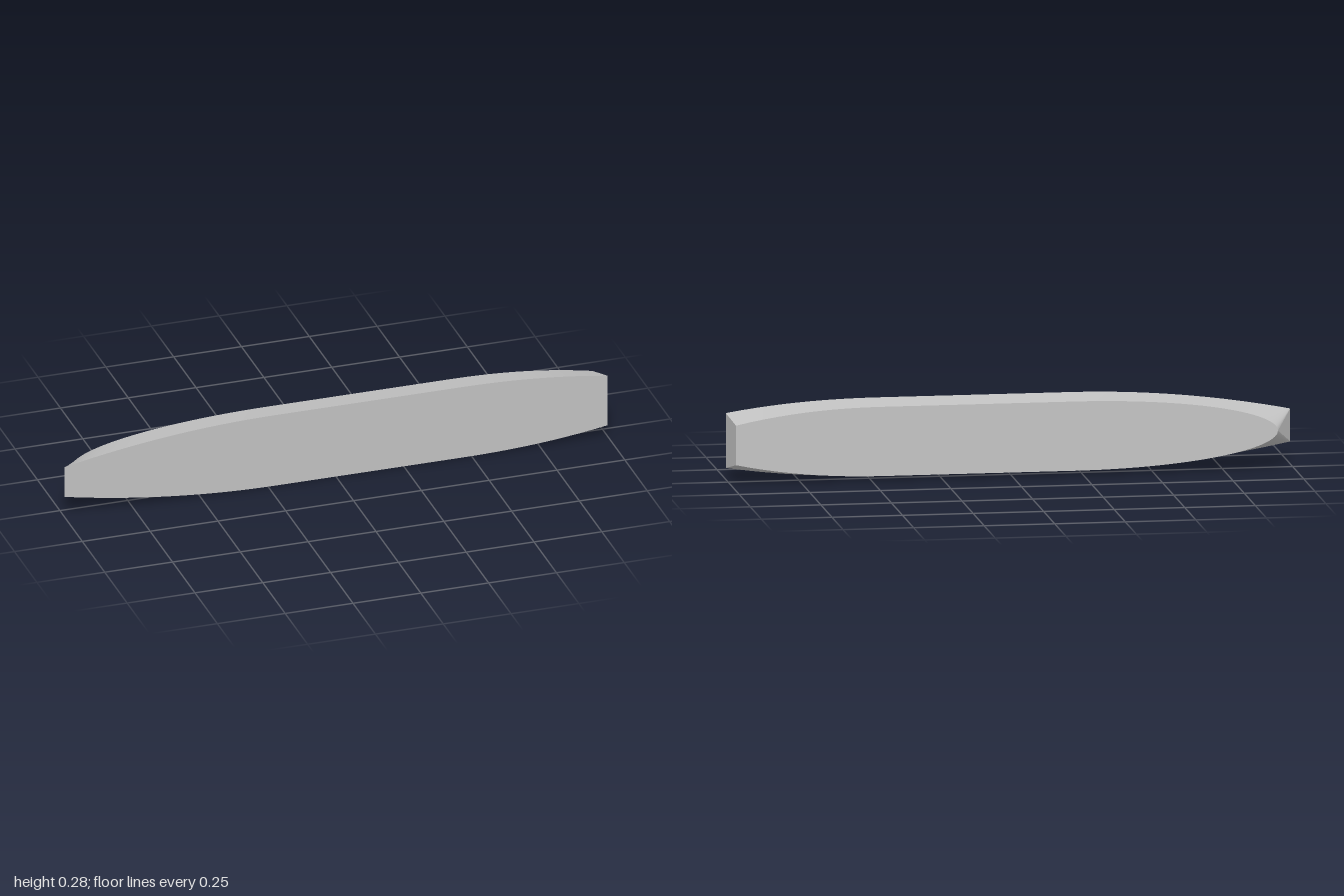
import * as THREE from 'three';

const MID = 0.1385; // height of the long axis
const STEPS = 64;

// Half height along the length: flat in the middle, tapering to both ends.
function frontHalf(x) {
  if (x < -0.22) return 0.0585 + 0.08 * (1 - ((-0.22 - x) / 0.78) ** 2);
  if (x > 0.45) return 0.1385 - 0.041 * ((x - 0.45) / 0.55) ** 2.2;
  return 0.1385;
}
function backHalf(x) {
  if (x < -0.22) return 0.1225 * Math.sqrt(Math.max(0, 1 - ((-0.22 - x) / 0.72) ** 2));
  if (x > 0.45) return 0.1225 - 0.0525 * ((x - 0.45) / 0.53) ** 2.2;
  return 0.1225;
}

// One edge of the slab, from -x to +x, with closer points near the -x tip.
function edge(x0, x1, half, sign, depth) {
  const points = [];
  for (let i = 0; i <= STEPS; i++) {
    const t = (i / STEPS) ** 1.7;
    const x = x0 + (x1 - x0) * t;
    const y = MID + sign * half(x);
    points.push(new THREE.Vector3(x, y, depth(y)));
  }
  return points;
}

// Surface between an upper and a lower row of points.
function strip(name, upper, lower, material) {
  const positions = [];
  const index = [];
  upper.forEach((p, i) => {
    positions.push(...p.toArray(), ...lower[i].toArray());
    if (i > 0) {
      const a = 2 * i - 2;
      index.push(a, a + 1, a + 2, a + 1, a + 3, a + 2);
    }
  });
  const geometry = new THREE.BufferGeometry();
  geometry.setAttribute('position', new THREE.Float32BufferAttribute(positions, 3));
  geometry.setIndex(index);
  geometry.computeVertexNormals();
  const mesh = new THREE.Mesh(geometry, material);
  mesh.name = name;
  return mesh;
}

export function createModel() {
  const group = new THREE.Group();
  group.name = 'taperedSlab';
  const grey = new THREE.MeshStandardMaterial({ color: 0xc0c0c0 });
  grey.name = 'light grey';

  // The front is upright; the smaller back leans slightly.
  const frontZ = () => 0.054;
  const backZ = (y) => -0.047 - 0.007 * (0.262 - y) / 0.245;
  const frontTop = edge(-1, 1, frontHalf, 1, frontZ);
  const frontBottom = edge(-1, 1, frontHalf, -1, frontZ);
  const backTop = edge(-0.94, 0.98, backHalf, 1, backZ);
  const backBottom = edge(-0.94, 0.98, backHalf, -1, backZ);
  const n = STEPS;

  group.add(
    strip('frontFace', frontTop, frontBottom, grey),
    strip('backFace', backBottom, backTop, grey),
    strip('topWall', backTop, frontTop, grey),
    strip('bottomWall', frontBottom, backBottom, grey),
    strip('leftEnd', [frontTop[n], backTop[n]], [frontBottom[n], backBottom[n]], grey),
    strip('rightEnd', [backTop[0], frontTop[0]], [backBottom[0], frontBottom[0]], grey)
  );
  return group;
}
